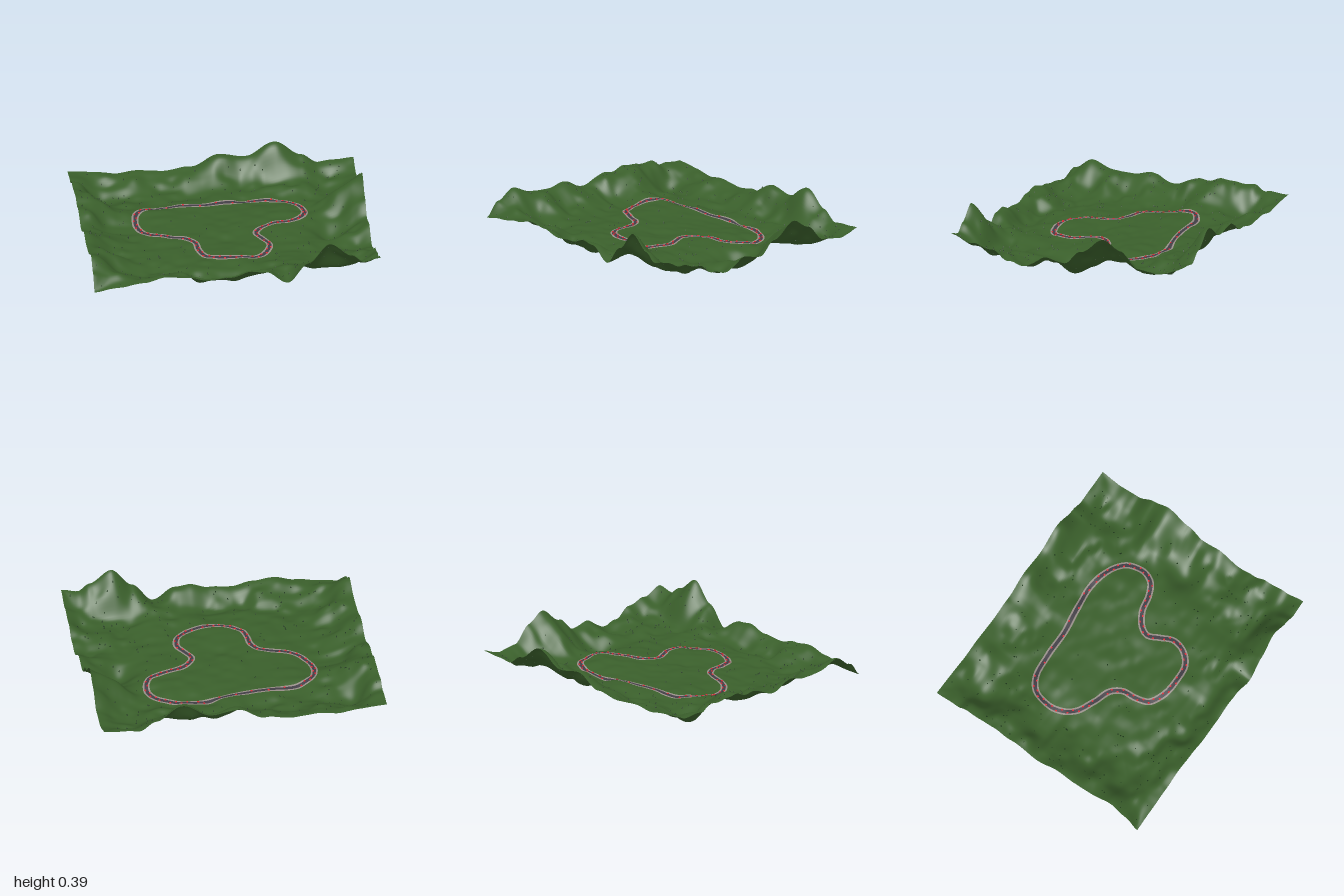
import * as THREE from 'three';
import { mergeGeometries } from 'three/addons/utils/BufferGeometryUtils.js';

const W = 1, D = 0.853, BASE = 0.1;

// Heights along the four borders, as [position, height]
const frontEdge = [[-1, .1], [-.8, .13], [-.65, .15], [-.5, .19], [-.35, .18], [-.2, .14], [-.05, .15], [.1, .19],
  [.2, .19], [.35, .11], [.5, .24], [.65, .375], [.8, .29], [.88, .24], [1, .27]];
const backEdge = [[-1, .17], [-.7, .16], [-.54, .185], [-.3, .15], [-.15, .17], [.07, .265], [.25, .24], [.45, .335],
  [.63, .23], [.75, .16], [1, .185]];
const leftEdge = [[-.85, .17], [-.68, .19], [-.6, .23], [-.5, .22], [-.35, .245], [-.2, .22], [0, .18], [.17, .235],
  [.3, .2], [.45, .205], [.63, .27], [.75, .2], [.85, .1]];
const rightEdge = [[-.85, .185], [-.7, .14], [-.55, .16], [-.42, .27], [-.29, .34], [-.12, .23], [0, .14], [.15, .17],
  [.3, .1], [.42, .1], [.55, .19], [.7, .21], [.85, .27]];

// Centre line of the circuit, as x, z
const loopPoints = [[-.6, -.2], [-.57, -.31], [-.47, -.38], [-.3, -.4], [-.1, -.405], [.1, -.435], [.28, -.455],
  [.45, -.42], [.56, -.34], [.59, -.23], [.55, -.13], [.46, -.08], [.34, -.05], [.25, .01], [.215, .08], [.25, .16],
  [.29, .25], [.265, .35], [.19, .42], [.07, .44], [-.07, .43], [-.18, .37], [-.21, .28], [-.22, .18], [-.27, .11],
  [-.4, .06], [-.52, 0], [-.585, -.1]];

const smooth = (a, b, v) => THREE.MathUtils.smoothstep(v, a, b);

function profile(pts, t) {
  let i = 0;
  while (i < pts.length - 2 && t > pts[i + 1][0]) i++;
  const [a, b] = [pts[i], pts[i + 1]];
  return a[1] + (b[1] - a[1]) * smooth(a[0], b[0], t);
}

// Smooth value noise between -1 and 1
function hash(i, j) {
  const s = Math.sin(i * 127.1 + j * 311.7) * 43758.5453;
  return (s - Math.floor(s)) * 2 - 1;
}
function noise(x, z) {
  const i = Math.floor(x), j = Math.floor(z);
  const u = smooth(0, 1, x - i), v = smooth(0, 1, z - j);
  const low = hash(i, j) * (1 - u) + hash(i + 1, j) * u;
  const high = hash(i, j + 1) * (1 - u) + hash(i + 1, j + 1) * u;
  return low * (1 - v) + high * v;
}

// Hollows as [x, z, radius, floor height]
const hollows = [[0.74, 0.03, 0.085, 0], [-0.78, -0.6, 0.07, 0.05]];

// Hilly border around a gently rippled middle
function heightAt(x, z) {
  // distance to each border, border height there, and how far in its hills fade
  const sides = [[D - z, profile(frontEdge, x), 1 - smooth(0, 0.22, D - z)],
    [D + z, profile(backEdge, x), 1 - smooth(0, 0.26, D + z)],
    [W + x, profile(leftEdge, z), 1 - smooth(0, 0.4, W + x)],
    [W - x, profile(rightEdge, z), Math.max(0, 1 - (W - x) / 0.42) ** 2]];
  let sum = 0, total = 0, near = 1;
  for (const [d, h, fade] of sides) {
    const w = 1 / (Math.max(d, 0) + 0.004) ** 2;
    sum += w * (h - BASE) * fade;
    total += w;
    near = Math.min(near, d);
  }
  const ring = smooth(0, 0.12, near) * (1 - smooth(0.22, 0.45, near));
  let h = BASE + sum / total;
  h += (0.013 + 0.03 * ring) * noise(x * 5 + 3, z * 7 + 8) + 0.012 * noise(x * 11, z * 15) * (0.6 + ring);
  h = Math.max(h, 0.065);
  for (const [hx, hz, r, floor] of hollows) {
    h += (floor - h) * Math.exp(-((x - hx) ** 2 + (z - hz) ** 2) / (2 * r * r));
  }
  return h;
}

export function createModel() {
  const group = new THREE.Group();
  const material = (name, color, side = THREE.FrontSide) => {
    const m = new THREE.MeshStandardMaterial({ color, side });
    m.name = name;
    return m;
  };
  const grass = material('grass green', 0x3a5f2b, THREE.DoubleSide);
  const asphalt = material('asphalt', 0x413d45, THREE.DoubleSide);
  const verge = material('verge grey', 0x958c86, THREE.DoubleSide);
  const red = material('kerb red', 0xe02c38);
  const foliage = material('dark foliage', 0x1f3a1c);
  const add = (name, geometry, mat) => {
    const mesh = new THREE.Mesh(geometry, mat);
    mesh.name = name;
    group.add(mesh);
  };

  // Terrain sheet
  const land = new THREE.PlaneGeometry(2 * W, 2 * D, 160, 136).rotateX(-Math.PI / 2);
  const p = land.attributes.position;
  for (let i = 0; i < p.count; i++) p.setY(i, heightAt(p.getX(i), p.getZ(i)));
  land.computeVertexNormals();
  add('terrain', land, grass);

  // Circuit: ribbons that follow the ground at an offset from the centre line
  const curve = new THREE.CatmullRomCurve3(loopPoints.map(([x, z]) => new THREE.Vector3(x, 0, z)), true);
  const N = 360;
  const frames = [];
  for (let i = 0; i <= N; i++) {
    frames.push({ c: curve.getPointAt((i % N) / N), t: curve.getTangentAt((i % N) / N) });
  }
  const ribbon = (inner, outer, lift) => {
    const pos = [], index = [];
    frames.forEach(({ c, t }, i) => {
      for (const o of [inner, outer]) {
        const x = c.x - t.z * o, z = c.z + t.x * o;
        pos.push(x, heightAt(x, z) + lift, z);
      }
      const a = 2 * i;
      if (i < N) index.push(a, a + 1, a + 2, a + 1, a + 3, a + 2);
    });
    const g = new THREE.BufferGeometry();
    g.setAttribute('position', new THREE.Float32BufferAttribute(pos, 3));
    g.setIndex(index);
    g.computeVertexNormals();
    return g;
  };
  add('roadSurface', ribbon(0.012, -0.012, 0.003), asphalt);
  add('vergeOuter', ribbon(0.024, 0.012, 0.003), verge);
  add('vergeInner', ribbon(-0.012, -0.024, 0.003), verge);

  // Red kerb blocks on alternate sides, closer together in the bends
  const kerbs = [];
  for (let i = 0; i < N; i += 4) {
    const { c, t } = frames[i];
    const bend = t.angleTo(frames[(i + 8) % N].t);
    if (bend < 0.15 && i % 12) continue;
    const o = i % 8 ? 0.009 : -0.009;
    const x = c.x - t.z * o, z = c.z + t.x * o;
    kerbs.push(new THREE.BoxGeometry(0.013, 0.006, 0.01)
      .rotateY(Math.atan2(-t.z, t.x)).translate(x, heightAt(x, z) + 0.005, z));
  }
  add('kerbBlocks', mergeGeometries(kerbs), red);

  // Scattered small trees, kept off the circuit
  let seed = 7;
  const random = () => (seed = (seed * 16807) % 2147483647) / 2147483647;
  const trees = [];
  while (trees.length < 230) {
    const x = (random() * 2 - 1) * 0.97, z = (random() * 2 - 1) * 0.82;
    const clear = frames.every(({ c }) => Math.hypot(c.x - x, c.z - z) > 0.06);
    const middle = Math.hypot(x, z * 1.15) < 0.6;
    if (!clear || (middle && random() < 0.8)) continue;
    const s = 0.7 + random() * 0.5;
    trees.push(new THREE.ConeGeometry(0.005 * s, 0.013 * s, 6).translate(x, heightAt(x, z) + 0.006 * s, z));
  }
  add('trees', mergeGeometries(trees), foliage);

  return group;
}
